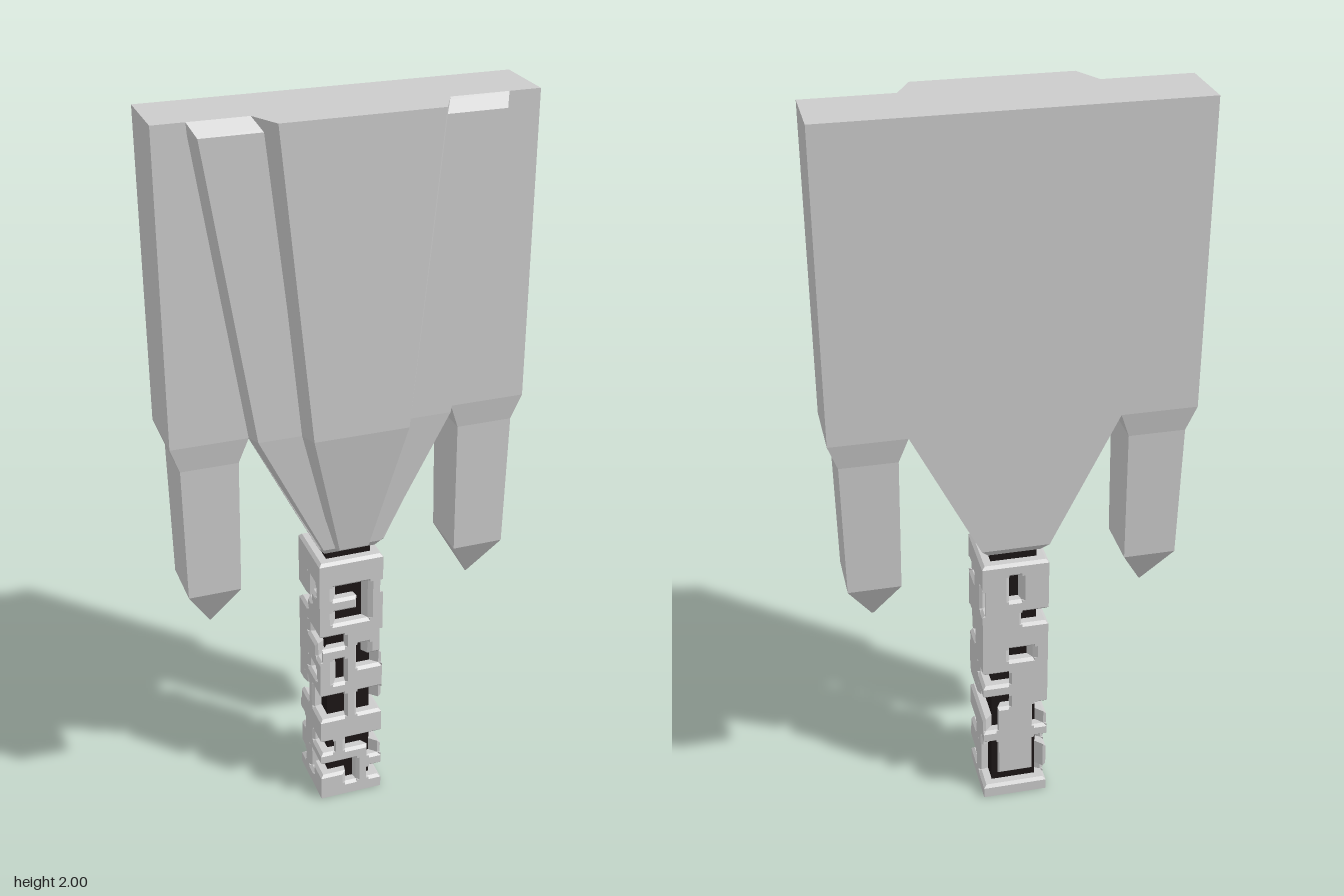
import * as THREE from 'three';
import { mergeGeometries } from 'three/addons/utils/BufferGeometryUtils.js';

const grey = new THREE.MeshStandardMaterial({ color: 0xcccccc, flatShading: true });
const dark = new THREE.MeshStandardMaterial({ color: 0x1c1616, flatShading: true });

// Closed loft through rings of [x, y, z] corners, counter-clockwise seen from the last ring's side
function loft(rings) {
  const pos = [];
  const tri = (a, b, c) => pos.push(...a, ...b, ...c);
  const n = rings[0].length;
  for (let r = 0; r < rings.length - 1; r++) {
    for (let i = 0; i < n; i++) {
      const j = (i + 1) % n, A = rings[r], B = rings[r + 1];
      tri(A[i], A[j], B[j]);
      tri(A[i], B[j], B[i]);
    }
  }
  const first = rings[0], last = rings[rings.length - 1];
  for (let i = 1; i < n - 1; i++) {
    tri(first[0], first[i + 1], first[i]);
    tri(last[0], last[i], last[i + 1]);
  }
  const g = new THREE.BufferGeometry();
  g.setAttribute('position', new THREE.Float32BufferAttribute(pos, 3));
  g.computeVertexNormals();
  return g;
}

// Horizontal rectangle, and a trapezoid narrowing from half-width a to b at its front
const rect = (y, x0, x1, z0, z1) => [[x0, y, z1], [x1, y, z1], [x1, y, z0], [x0, y, z0]];
const trapezoid = (y, a, b, z0, z1) => [[-b, y, z1], [b, y, z1], [a, y, z0], [-a, y, z0]];

// Grip pattern, top row first: front, right, back, left (# = raised)
const pattern = [
  '##### ##### ##### #####',
  '##### ##### ##.## #####',
  '#...# ..##. ##.## ##..#',
  '###.# ####. ##### ##.##',
  '#...# ##### ###.. ..###',
  '##### ##### ##### #####',
  '..### ..### ##### ##...',
  '###.# ..### ##..# ####.',
  '#.#.. ##### ##### #####',
  '#.### ###.. ..### ##..#',
  '##### ##### ##### #####',
  '..#.. ###.. ..### #.#..',
  '..#.. ..... .###. ..#..',
  '##### ##### .###. #####',
  '##### ##### ##### #####',
  '.#... ..##. .###. .##..',
  '####. ###.. .###. #####',
  '...## ###.. .###. ##...',
  '##.#. ..#.. ..... .#.##',
  '##### ##### ##### #####',
].map((row) => row.replaceAll(' ', ''));

const GRIP_Z = -0.04, OUTER = 0.09, INNER = 0.062, GRIP_TOP = 0.79, BEVEL = 0.008;

// Point on a square column: u counts pattern columns around it from the front left corner
function onColumn(face, u, y, h) {
  let x = ((u - face * 5) / 2.5 - 1) * h, z = h;
  for (let i = 0; i < face; i++) [x, z] = [z, -x];
  return [x, y, z + GRIP_Z];
}

function gripRelief() {
  const rows = pattern.length, rowH = GRIP_TOP / rows, cellW = OUTER * 2 / 5;
  const filled = (r, c) => r >= rows || (r >= 0 && pattern[r][(c + 20) % 20] === '#');
  const cells = [];
  for (let r = 0; r < rows; r++) {
    for (let c = 0; c < 20; c++) {
      if (!filled(r, c)) continue;
      const face = Math.floor(c / 5);
      const y1 = GRIP_TOP - r * rowH, y0 = y1 - rowH;
      const ring = (u0, u1, v0, v1, h) =>
        [[u0, v0], [u1, v0], [u1, v1], [u0, v1]].map(([u, v]) => onColumn(face, u, v, h));
      // bevel only the sides that border a groove
      const side = (dr, dc, size) => (filled(r + dr, c + dc) ? 0 : size);
      const bu = BEVEL / cellW;
      cells.push(loft([
        ring(c, c + 1, y0, y1, INNER - 0.004),
        ring(c, c + 1, y0, y1, OUTER - BEVEL),
        ring(c + side(0, -1, bu), c + 1 - side(0, 1, bu),
          y0 + side(1, 0, BEVEL), y1 - side(-1, 0, BEVEL), OUTER),
      ]));
    }
  }
  return mergeGeometries(cells);
}

export function createModel() {
  const model = new THREE.Group();
  model.name = 'key';
  const add = (name, geometry, material = grey) => {
    const mesh = new THREE.Mesh(geometry, material);
    mesh.name = name;
    model.add(mesh);
    return mesh;
  };

  // Flat head and the funnel narrowing to the grip
  add('head', loft([rect(1.2, -0.47, 0.47, -0.13, 0.05), rect(2, -0.47, 0.47, -0.13, 0.05)]));
  add('funnel', loft([
    rect(0.815, -0.07, 0.07, -0.11, 0.035),
    rect(0.84, -0.09, 0.09, -0.13, 0.05),
    rect(1.2, -0.27, 0.27, -0.13, 0.05),
  ]));

  // Two raised layers on the front of the head
  add('lowerRaisedLayer', loft([
    trapezoid(0.84, 0.09, 0.08, 0.04, 0.058),
    trapezoid(1.2, 0.27, 0.255, 0.05, 0.083),
    trapezoid(1.97, 0.387, 0.372, 0.05, 0.083),
    trapezoid(2, 0.39, 0.389, 0.045, 0.05),
  ]));
  add('centreRidge', loft([
    trapezoid(0.84, 0.06, 0.04, 0.04, 0.07),
    trapezoid(1.2, 0.155, 0.125, 0.05, 0.128),
    trapezoid(2, 0.24, 0.2, 0.05, 0.128),
  ]));

  // Pointed prongs hanging from both sides
  for (const [name, s] of [['leftProng', 1], ['rightProng', -1]]) {
    const section = (y, halfX, z0, z1) => rect(y, s * 0.37 - halfX, s * 0.37 + halfX, z0, z1);
    add(name, loft([
      section(0.63, 0.002, -0.039, -0.035),
      section(0.755, 0.07, -0.112, 0.035),
      section(1.13, 0.075, -0.118, 0.04),
      section(1.2, 0.1, -0.13, 0.05),
    ]));
  }

  // Grip: dark core, raised maze bars and a closed foot
  add('gripCore', loft([
    rect(0.005, -INNER, INNER, GRIP_Z - INNER, GRIP_Z + INNER),
    rect(0.83, -INNER, INNER, GRIP_Z - INNER, GRIP_Z + INNER),
  ]), dark);
  add('gripRelief', gripRelief());
  add('gripFoot', loft([
    rect(0, -0.088, 0.088, GRIP_Z - 0.088, GRIP_Z + 0.088),
    rect(0.02, -0.088, 0.088, GRIP_Z - 0.088, GRIP_Z + 0.088),
  ]));
  return model;
}
